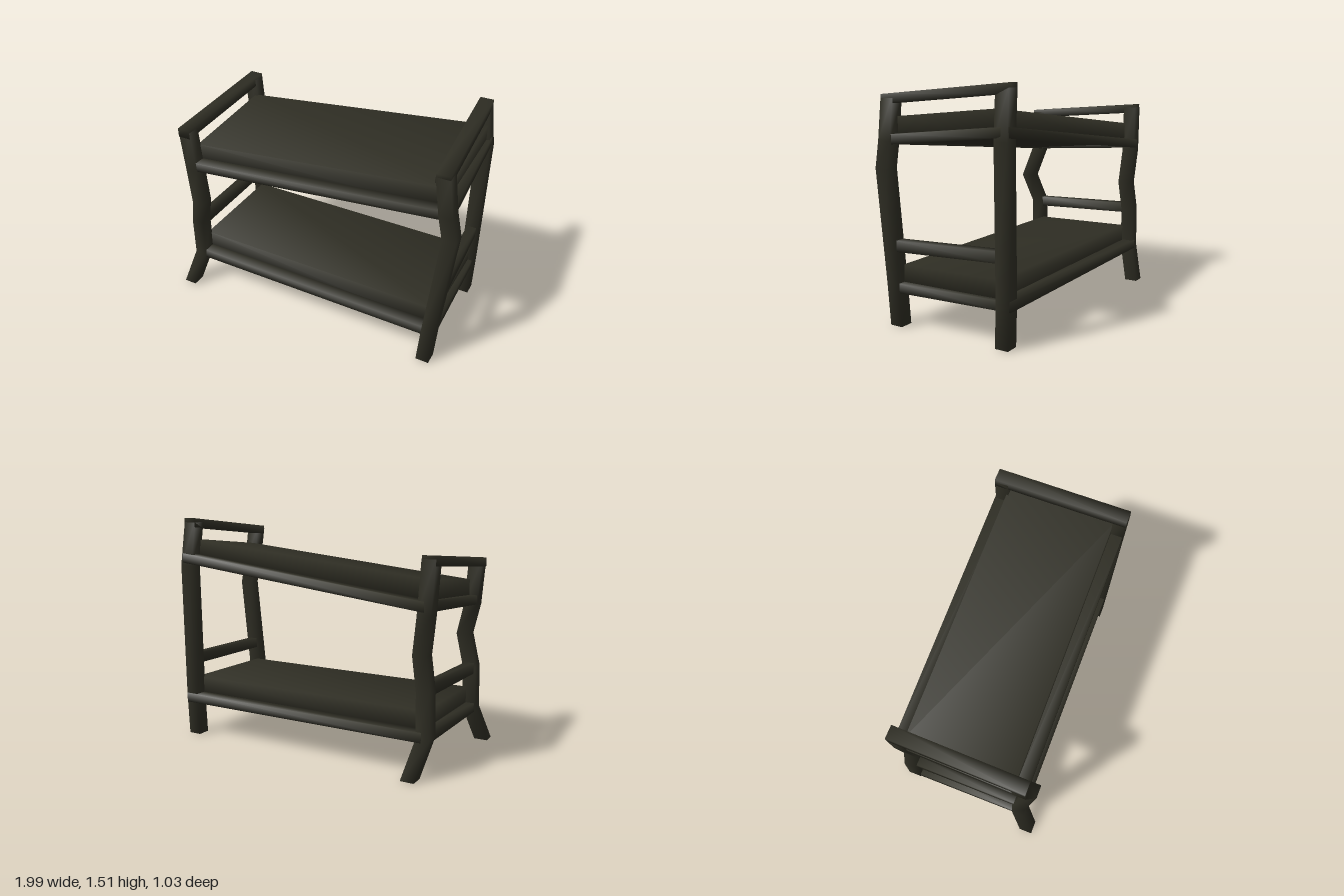
import * as THREE from 'three';

const wood = new THREE.MeshStandardMaterial({ color: 0x2f2e24 });
wood.name = 'darkWood';

// Four-sided bar swept along axis (0 x, 1 y, 2 z) through points in rising order.
// su, sv: section size along the next two axes; shear: drop in y per unit of z.
function bar(name, axis, pts, su, sv, shear = 0) {
  const u = (axis + 1) % 3, v = (axis + 2) % 3;
  const pos = [], idx = [];
  pts.forEach((p, i) => {
    [[-1, -1], [1, -1], [1, 1], [-1, 1]].forEach(([a, b], j) => {
      const c = [...p];
      c[u] += a * su / 2;
      c[v] += b * sv / 2;
      c[1] -= shear * (c[2] - p[2]);
      pos.push(...c);
      if (i > 0) {
        const k = (j + 1) % 4, lo = (i - 1) * 4, hi = i * 4;
        idx.push(lo + j, lo + k, hi + k, lo + j, hi + k, hi + j);
      }
    });
  });
  const n = (pts.length - 1) * 4;
  idx.push(0, 2, 1, 0, 3, 2, n, n + 1, n + 2, n, n + 2, n + 3);
  const g = new THREE.BufferGeometry();
  g.setAttribute('position', new THREE.Float32BufferAttribute(pos, 3));
  g.setIndex(idx);
  g.computeVertexNormals();
  const mesh = new THREE.Mesh(g, wood);
  mesh.name = name;
  return mesh;
}

export function createModel() {
  const bed = new THREE.Group();
  bed.name = 'bunkBed';

  // Crooked corner posts, foot to top
  const posts = {
    rightFrontPost: [[-0.955, 0.01, 0.47], [-0.89, 0.25, 0.385], [-0.885, 0.53, 0.385],
      [-0.815, 0.74, 0.438], [-0.88, 0.95, 0.385], [-0.903, 1.24, 0.385]],
    rightBackPost: [[-0.825, 0, -0.47], [-0.89, 0.25, -0.4], [-0.885, 0.53, -0.4],
      [-0.85, 0.74, -0.385], [-0.88, 0.98, -0.4], [-0.9, 1.3, -0.395]],
    leftFrontPost: [[0.853, 0, 0.385], [0.875, 0.28, 0.385], [0.948, 1.0, 0.382],
      [0.915, 1.16, 0.385], [0.88, 1.41, 0.388]],
    leftBackPost: [[0.847, 0, -0.39], [0.852, 0.28, -0.4], [0.865, 1.19, -0.402], [0.83, 1.48, -0.392]],
  };
  for (const [name, pts] of Object.entries(posts)) bed.add(bar(name, 1, pts, 0.088, 0.088));

  // Cross rails at both ends, back to front: [name, x, y at the back, x, y at the front, width, height]
  const endRails = [
    ['leftTopRail', 0.83, 1.478, 0.88, 1.403, 0.088, 0.06],
    ['rightTopRail', -0.9, 1.292, -0.904, 1.226, 0.088, 0.06],
    ['leftUpperEndRail', 0.868, 1.24, 0.91, 1.167, 0.075, 0.06],
    ['rightUpperEndRail', -0.88, 1.03, -0.885, 0.98, 0.075, 0.06],
    ['leftMiddleRail', 0.855, 0.54, 0.895, 0.52, 0.065, 0.07],
    ['rightMiddleRail', -0.885, 0.54, -0.885, 0.52, 0.065, 0.07],
    ['leftLowerEndRail', 0.85, 0.26, 0.872, 0.252, 0.075, 0.06],
    ['rightLowerEndRail', -0.89, 0.26, -0.89, 0.252, 0.075, 0.06],
  ];
  for (const [name, xb, yb, xf, yf, w, h] of endRails) {
    const reach = name.includes('Top') ? [-0.436, 0.43] : [-0.4, 0.385];
    bed.add(bar(name, 2, [[xb, yb, reach[0]], [xf, yf, reach[1]]], w, h));
  }

  // Long side rails
  const sideRails = [
    ['upperFrontRail', 0.98, 1.167, 0.383],
    ['upperBackRail', 1.03, 1.24, -0.41],
    ['lowerFrontRail', 0.253, 0.257, 0.383],
    ['lowerBackRail', 0.26, 0.262, -0.41],
  ];
  for (const [name, y0, y1, z] of sideRails) {
    bed.add(bar(name, 0, [[-0.88, y0, z], [0.89, y1, z]], 0.062, 0.082));
  }

  // Mattresses, the upper one tilted
  bed.add(bar('upperMattress', 0, [[-0.87, 1.07, -0.01], [0.88, 1.258, -0.01]], 0.155, 0.71, 0.09));
  bed.add(bar('lowerMattress', 0, [[-0.87, 0.317, -0.01], [0.86, 0.319, -0.01]], 0.155, 0.71, 0.012));
  return bed;
}
